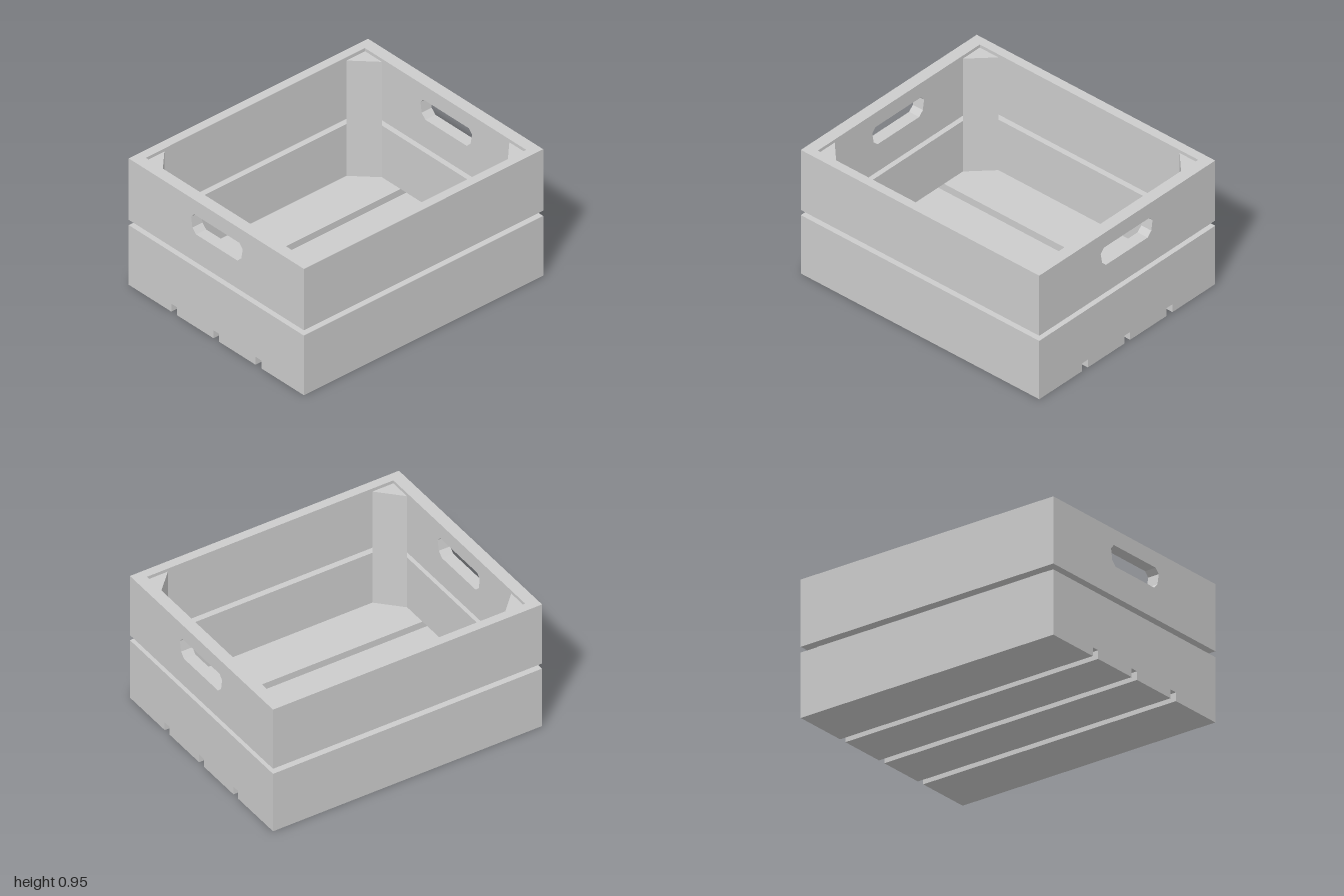
import * as THREE from 'three';

const X = 1, Z = 0.822;           // outer half sizes
const IX = 0.916, IZ = 0.757;     // inner half sizes
const FLOOR = 0.06, LOW_TOP = 0.45, HIGH_BASE = 0.49, TOP = 0.953;

export function createModel() {
  const crate = new THREE.Group();
  crate.name = 'crate';
  const material = new THREE.MeshStandardMaterial({ color: 0xcccccc, flatShading: true });

  const add = (name, geometry) => {
    const mesh = new THREE.Mesh(geometry, material);
    mesh.name = name;
    crate.add(mesh);
  };
  // Box given by its limits on each axis
  const board = (name, x0, x1, y0, y1, z0, z1) =>
    add(name, new THREE.BoxGeometry(x1 - x0, y1 - y0, z1 - z0)
      .translate((x0 + x1) / 2, (y0 + y1) / 2, (z0 + z1) / 2));
  const points = (list) => list.map(([a, b]) => new THREE.Vector2(a, b));

  // Floor slats with three narrow gaps
  const gaps = [-0.395, 0, 0.395], half = 0.027;
  for (let i = 0; i < 4; i++) {
    const z0 = i === 0 ? -Z : gaps[i - 1] + half;
    const z1 = i === 3 ? Z : gaps[i] - half;
    board('floorSlat', -X, X, 0, FLOOR, z0, z1);
  }

  // Front and back boards, two tiers each
  for (const [name, z0, z1] of [['front', IZ, Z], ['back', -Z, -IZ]]) {
    board(name + 'LowerBoard', -X, X, FLOOR, LOW_TOP, z0, z1);
    board(name + 'UpperBoard', -X, X, HIGH_BASE, TOP, z0, z1);
  }

  // End boards; the upper ones have a chamfered hand hole
  const hole = points([
    [0.248, 0.81], [0.217, 0.843], [-0.208, 0.843], [-0.236, 0.81],
    [-0.225, 0.735], [-0.19, 0.7], [0.199, 0.7], [0.234, 0.735],
  ]);
  const panel = new THREE.Shape(points([[-IZ, HIGH_BASE], [IZ, HIGH_BASE], [IZ, TOP], [-IZ, TOP]]));
  panel.holes.push(new THREE.Path(hole));
  for (const [name, x0, x1] of [['left', IX, X], ['right', -X, -IX]]) {
    board(name + 'LowerBoard', x0, x1, FLOOR, LOW_TOP, -IZ, IZ);
    add(name + 'HandleBoard', new THREE.ExtrudeGeometry(panel, { depth: X - IX, bevelEnabled: false })
      .rotateY(-Math.PI / 2).translate(x1, 0, 0));
  }

  // Triangular corner posts, just below the rim
  const postTop = 0.93;
  for (const sx of [-1, 1]) for (const sz of [-1, 1]) {
    const corner = new THREE.Shape(points([
      [sx * IX, sz * IZ], [sx * 0.76, sz * IZ], [sx * IX, sz * 0.598],
    ]));
    add('cornerPost', new THREE.ExtrudeGeometry(corner, { depth: postTop - FLOOR, bevelEnabled: false })
      .rotateX(Math.PI / 2).translate(0, postTop, 0));
  }
  return crate;
}
